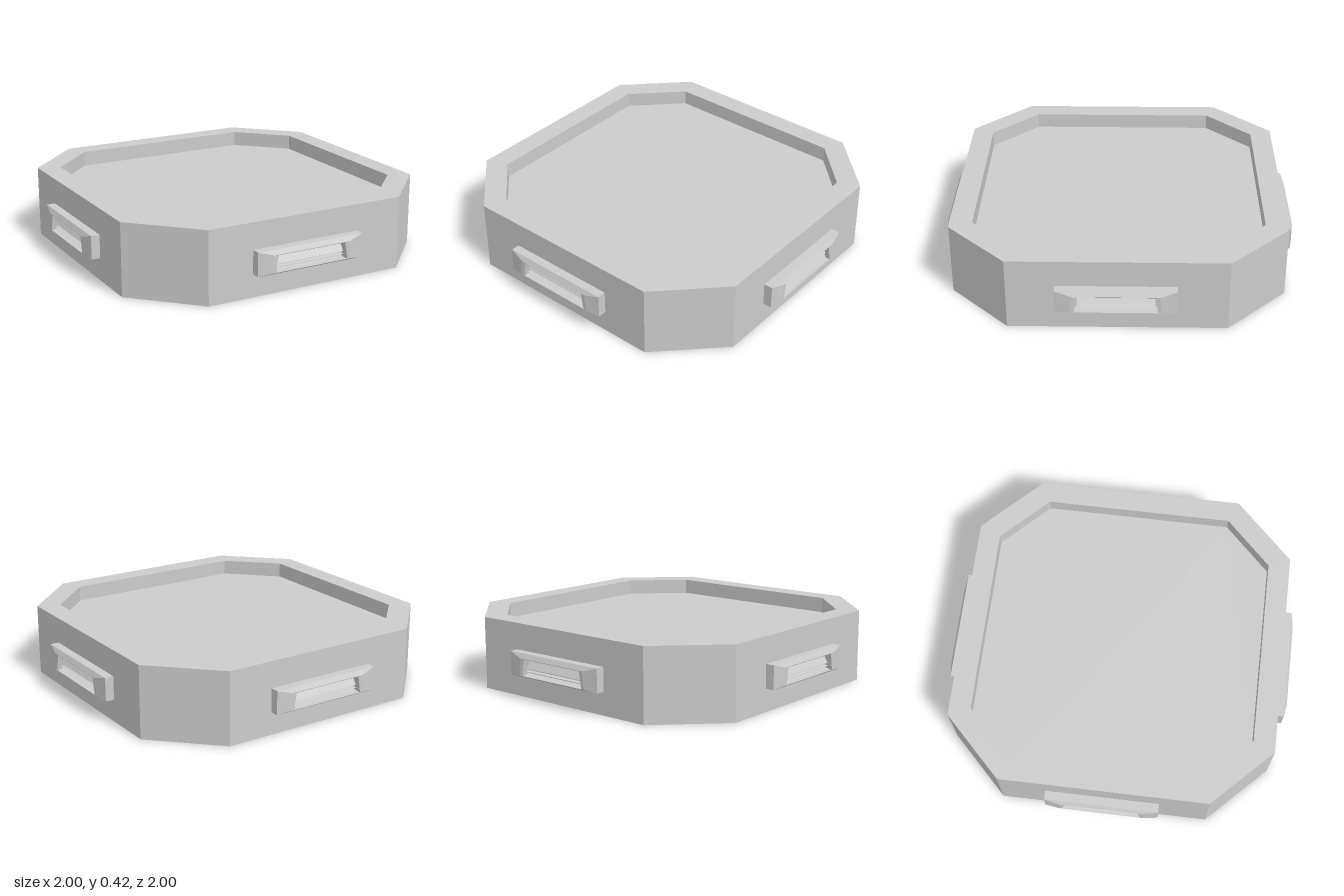
import * as THREE from 'three';

const material = new THREE.MeshStandardMaterial({ color: 0xcccccc, flatShading: true });

// Skins a stack of counter-clockwise loops (arrays of [x, y, z]) and caps both ends.
function loft(loops) {
  const pos = [];
  const tri = (a, b, c) => pos.push(...a, ...b, ...c);
  const n = loops[0].length;
  for (let k = 0; k < loops.length - 1; k++) {
    const lo = loops[k], hi = loops[k + 1];
    for (let i = 0; i < n; i++) {
      const j = (i + 1) % n;
      tri(lo[i], lo[j], hi[j]);
      tri(lo[i], hi[j], hi[i]);
    }
  }
  const first = loops[0], last = loops[loops.length - 1];
  for (let i = 1; i < n - 1; i++) {
    tri(first[0], first[i + 1], first[i]);
    tri(last[0], last[i], last[i + 1]);
  }
  const geometry = new THREE.BufferGeometry();
  geometry.setAttribute('position', new THREE.Float32BufferAttribute(pos, 3));
  geometry.computeVertexNormals();
  return geometry;
}

// Square with cut corners: r = half width, c = where the cut starts
const octagon = (r, c, z) =>
  [[r, -c], [r, c], [c, r], [-c, r], [-r, c], [-r, -c], [-c, -r], [c, -r]].map(([x, y]) => [x, y, z]);

// Four-sided loop with separate bottom and top half widths
const quad = (wBottom, wTop, y0, y1, z) =>
  [[-wBottom, y0, z], [wBottom, y0, z], [wTop, y1, z], [-wTop, y1, z]];

function named(geometry, name) {
  const mesh = new THREE.Mesh(geometry, material);
  mesh.name = name;
  return mesh;
}

function createVent() {
  const vent = new THREE.Group();
  vent.name = 'vent';

  // Bevelled frame with a shallow opening
  vent.add(named(loft([
    quad(0.327, 0.327, 0.13, 0.265, 0.93),
    quad(0.327, 0.327, 0.13, 0.265, 0.985),
    quad(0.245, 0.235, 0.14, 0.238, 1.0),
    quad(0.225, 0.21, 0.14, 0.235, 0.998),
    quad(0.225, 0.205, 0.14, 0.235, 0.94),
  ]), 'ventFrame'));

  // Louvres: a sloping upper panel over two thin slats, as [z, y]
  const profile = [
    [0.938, 0.142], [0.938, 0.23], [0.95, 0.224], [0.978, 0.18], [0.958, 0.178],
    [0.958, 0.169], [0.984, 0.165], [0.962, 0.161], [0.962, 0.153], [0.99, 0.149], [0.962, 0.142],
  ];
  const shape = new THREE.Shape(profile.map(([z, y]) => new THREE.Vector2(-z, y)));
  const louvres = new THREE.ExtrudeGeometry(shape, { depth: 0.42, bevelEnabled: false });
  louvres.translate(0, 0, -0.21).rotateY(Math.PI / 2);
  vent.add(named(louvres, 'ventLouvres'));

  vent.children.forEach((part) => { part.position.x = -0.007; });
  return vent;
}

export function createModel() {
  const model = new THREE.Group();
  model.name = 'octagonalPlatform';

  // Platform with raised rim and sunken floor
  const body = loft([
    octagon(0.935, 0.598, 0),
    octagon(0.935, 0.598, 0.416),
    octagon(0.81, 0.545, 0.416),
    octagon(0.81, 0.545, 0.327),
  ]);
  body.rotateX(-Math.PI / 2);
  model.add(named(body, 'platform'));

  // One vent on each long side
  for (let i = 0; i < 4; i++) {
    const vent = createVent();
    vent.rotation.y = (i * Math.PI) / 2;
    model.add(vent);
  }
  return model;
}
